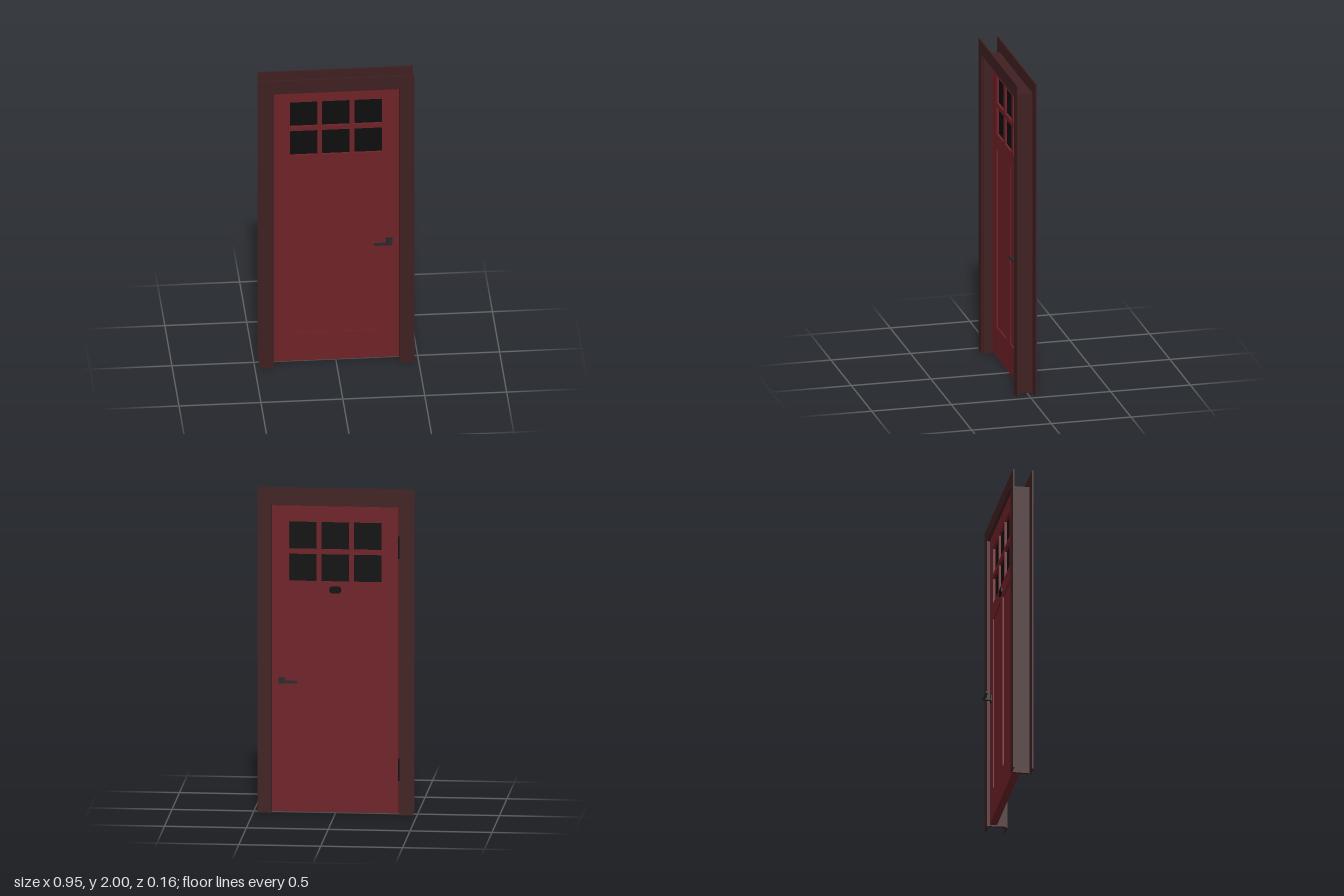
import * as THREE from 'three';

const mat = (color) => new THREE.MeshStandardMaterial({ color, roughness: 0.8 });

export function createModel() {
  const group = new THREE.Group();
  const trim = mat(0x402022), red = mat(0x6e2227), black = mat(0x0e0e0e), metal = mat(0x26282a);

  // Box given by its min/max on each axis
  const box = (name, material, [x0, x1], [y0, y1], [z0, z1], parent = group) => {
    const mesh = new THREE.Mesh(new THREE.BoxGeometry(x1 - x0, y1 - y0, z1 - z0), material);
    mesh.position.set((x0 + x1) / 2, (y0 + y1) / 2, (z0 + z1) / 2);
    mesh.name = name;
    parent.add(mesh);
    return mesh;
  };

  // Two legs and a head: used for casings, jamb and stop
  const surround = (name, outer, inner, top, headBottom, z) => {
    const part = new THREE.Group();
    part.name = name;
    box(name + 'RightLeg', trim, [-outer, -inner], [0, headBottom], z, part);
    box(name + 'LeftLeg', trim, [inner, outer], [0, headBottom], z, part);
    box(name + 'Head', trim, [-outer, outer], [headBottom, top], z, part);
    group.add(part);
  };
  surround('frontCasing', 0.475, 0.395, 2, 1.915, [0.072, 0.081]);
  surround('backCasing', 0.475, 0.395, 2, 1.915, [-0.045, -0.036]);
  surround('jamb', 0.4, 0.39, 1.92, 1.91, [-0.036, 0.017]);
  surround('doorStop', 0.4, 0.384, 1.92, 1.904, [0.017, 0.072]);

  // Door slab with openings for the panes and the lower panels
  const back = -0.03, front = 0.015;
  const rect = (Type, x0, x1, y0, y1) => {
    const path = new Type();
    path.moveTo(x0, y0);
    path.lineTo(x1, y0);
    path.lineTo(x1, y1);
    path.lineTo(x0, y1);
    path.closePath();
    return path;
  };
  const slab = rect(THREE.Shape, -0.387, 0.387, 0.008, 1.907);
  for (const x of [-0.198, 0, 0.198]) {
    for (const y of [1.525, 1.725]) {
      slab.holes.push(rect(THREE.Path, x - 0.084, x + 0.084, y - 0.085, y + 0.085));
    }
  }
  for (const s of [-1, 1]) {
    const [x0, x1] = [0.04 * s, 0.282 * s].sort((a, b) => a - b);
    slab.holes.push(rect(THREE.Path, x0, x1, 0.2, 1.34));
    box('recessedPanel', red, [x0, x1], [0.2, 1.34], [back + 0.008, front - 0.008]);
  }
  const door = new THREE.Mesh(
    new THREE.ExtrudeGeometry(slab, { depth: front - back, bevelEnabled: false }), red);
  door.position.z = back;
  door.name = 'doorSlab';
  group.add(door);

  // Dark glass behind the glazing bars
  box('windowGlass', black, [-0.283, 0.283], [1.438, 1.812], [-0.015, 0]);

  // Lever handles, one on each face
  for (const [name, face, s] of [['frontHandle', front, 1], ['backHandle', back, -1]]) {
    const handle = new THREE.Group();
    handle.name = name;
    box('rosette', metal, [0.307, 0.345], [0.803, 0.841], [0, 0.007], handle);
    box('stem', metal, [0.323, 0.338], [0.815, 0.829], [0.007, 0.041], handle);
    box('lever', metal, [0.23, 0.338], [0.815, 0.829], [0.041, 0.053], handle);
    handle.position.z = face;
    // Mirror by offsetting each piece to the other side of the face
    if (s < 0) handle.children.forEach((piece) => { piece.position.z *= -1; });
    group.add(handle);
  }

  // Hinge knuckles on the back edge
  for (const y of [1.66, 0.28]) {
    const hinge = new THREE.Mesh(new THREE.CylinderGeometry(0.005, 0.005, 0.14, 12), black);
    hinge.position.set(-0.388, y, back - 0.004);
    hinge.name = 'hinge';
    group.add(hinge);
  }

  // Rounded viewer plate on the back, below the panes
  const w = 0.034, h = 0.02, r = 0.012;
  const plate = new THREE.Shape();
  plate.absarc(w - r, h - r, r, 0, Math.PI / 2);
  plate.absarc(-w + r, h - r, r, Math.PI / 2, Math.PI);
  plate.absarc(-w + r, -h + r, r, Math.PI, Math.PI * 1.5);
  plate.absarc(w - r, -h + r, r, Math.PI * 1.5, Math.PI * 2);
  const viewer = new THREE.Mesh(
    new THREE.ExtrudeGeometry(plate, { depth: 0.01, bevelEnabled: false, curveSegments: 5 }), black);
  viewer.position.set(0, 1.39, back - 0.009);
  viewer.name = 'viewerPlate';
  group.add(viewer);

  return group;
}
